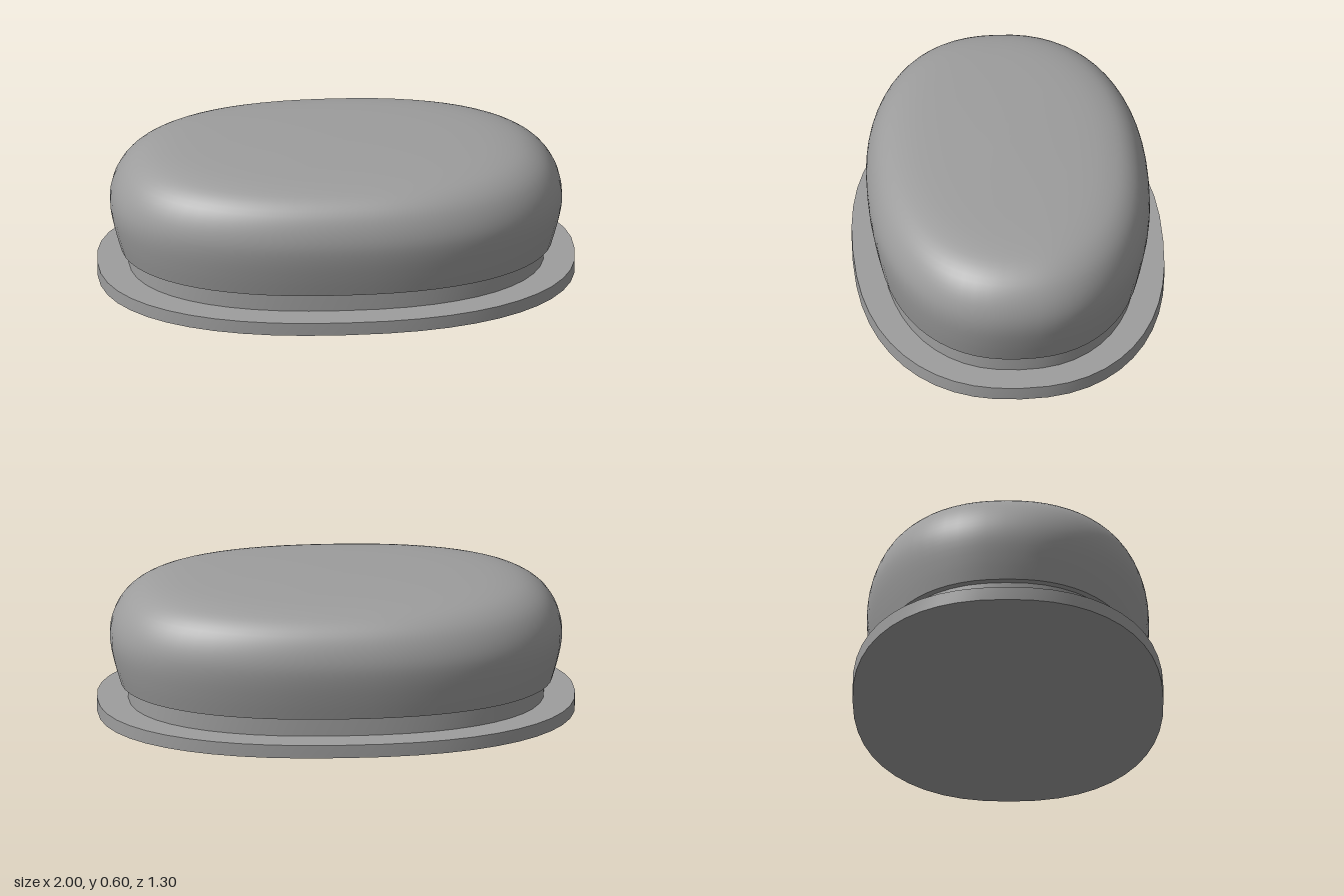
import * as THREE from 'three';
import { toCreasedNormals } from 'three/addons/utils/BufferGeometryUtils.js';

const ROUNDNESS = 2.3; // superellipse exponent of the oval outline

// Point on the oval outline
function oval(rx, rz, a) {
  const f = v => Math.sign(v) * Math.abs(v) ** (2 / ROUNDNESS);
  return [rx * f(Math.cos(a)), rz * f(Math.sin(a))];
}

// Closed solid through oval rings [rx, y, rz], capped at both ends
function loft(rings, sides, topY) {
  const pos = [], index = [];
  for (const [rx, y, rz] of rings) {
    for (let i = 0; i < sides; i++) {
      const [x, z] = oval(rx, rz, (i / sides) * Math.PI * 2);
      pos.push(x, y, z);
    }
  }
  const last = (rings.length - 1) * sides;
  const bottom = pos.length / 3, top = bottom + 1;
  pos.push(0, rings[0][1], 0, 0, topY, 0);
  for (let i = 0; i < sides; i++) {
    const j = (i + 1) % sides;
    for (let r = 0; r < last; r += sides) {
      const a = r + i, b = r + j, c = a + sides, d = b + sides;
      index.push(a, c, b, b, c, d);
    }
    index.push(bottom, i, j, top, last + j, last + i);
  }
  const geo = new THREE.BufferGeometry();
  geo.setAttribute('position', new THREE.Float32BufferAttribute(pos, 3));
  geo.setIndex(index);
  return toCreasedNormals(geo, 0.7);
}

export function createModel() {
  const group = new THREE.Group();
  const material = new THREE.MeshStandardMaterial({ color: 0x9d9d9d });
  const add = (name, geo) => {
    const mesh = new THREE.Mesh(geo, material);
    mesh.name = name;
    group.add(mesh);
  };

  // Flat oval base and the recessed neck above it
  add('basePlate', loft([[1, 0, 0.65], [1, 0.057, 0.65]], 48, 0.057));
  add('neck', loft([[0.87, 0.05, 0.532], [0.87, 0.145, 0.532]], 48, 0.145));

  // Cushion-like cap: [half width, height, half depth]
  const profile = [
    [0.905, 0.138, 0.554], [0.928, 0.22, 0.572], [0.945, 0.31, 0.587],
    [0.942, 0.375, 0.589], [0.92, 0.44, 0.574], [0.877, 0.5, 0.543],
    [0.81, 0.545, 0.493], [0.72, 0.57, 0.425], [0.58, 0.583, 0.335],
    [0.38, 0.59, 0.215], [0.18, 0.594, 0.1], [0.03, 0.596, 0.018],
  ].map(p => new THREE.Vector3(...p));
  const rings = new THREE.CatmullRomCurve3(profile, false, 'centripetal')
    .getPoints(33).map(p => p.toArray());
  add('cap', loft(rings, 64, 0.596));

  return group;
}
